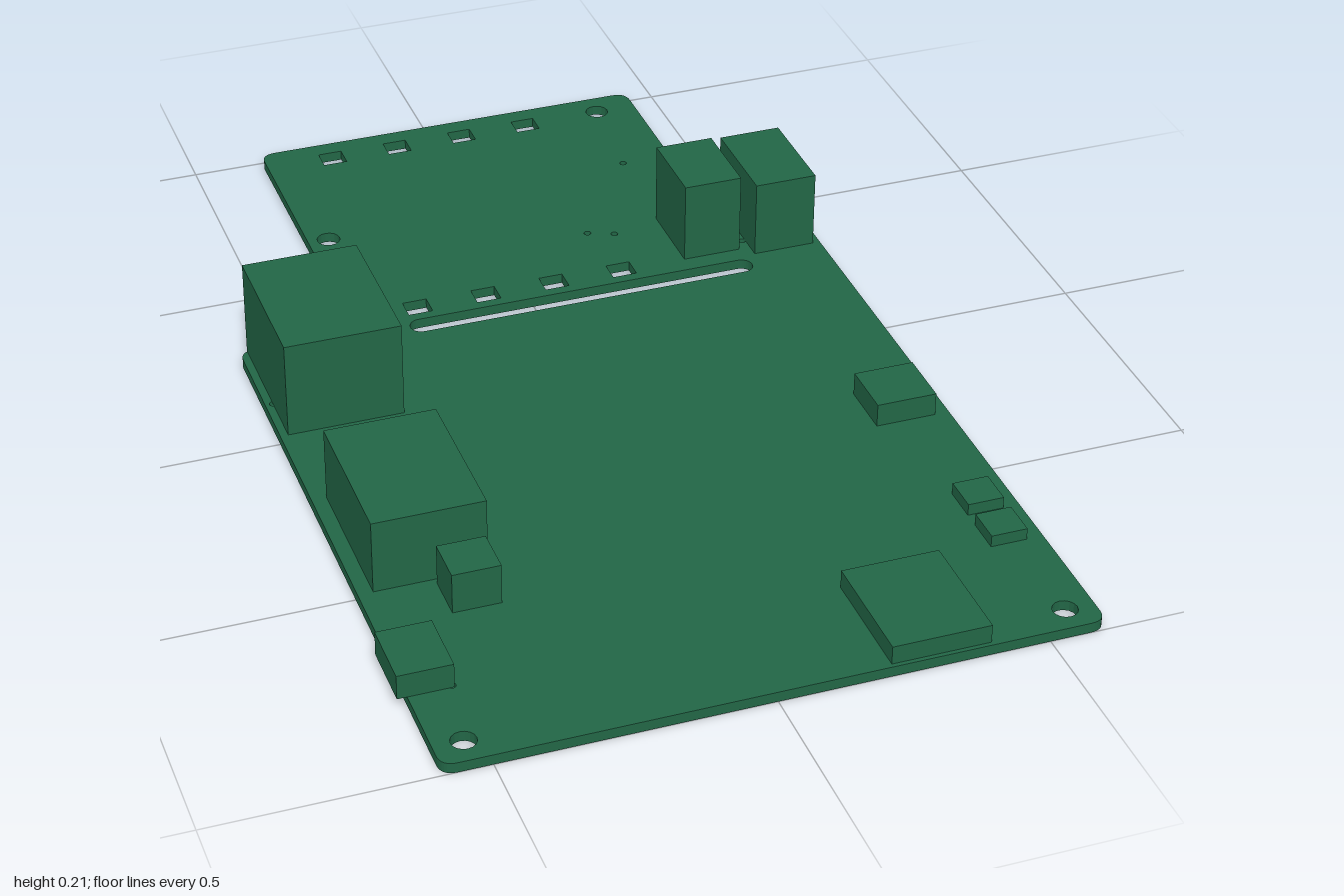
import * as THREE from 'three';

const T = 0.02; // board thickness

// Closed outline through [x, z, radius] corners, each rounded by its radius
function trace(path, pts) {
  const n = pts.length;
  const toward = (a, b, r) => {
    const l = Math.hypot(b[0] - a[0], b[1] - a[1]);
    return [a[0] + (b[0] - a[0]) * r / l, a[1] + (b[1] - a[1]) * r / l];
  };
  pts.forEach((p, i) => {
    const a = toward(p, pts[(i + n - 1) % n], p[2]);
    const b = toward(p, pts[(i + 1) % n], p[2]);
    if (i === 0) path.moveTo(a[0], -a[1]);
    else path.lineTo(a[0], -a[1]);
    if (p[2] > 0) path.quadraticCurveTo(p[0], -p[1], b[0], -b[1]);
  });
  path.closePath();
  return path;
}

function rectHole(x0, x1, z0, z1, r = 0) {
  return trace(new THREE.Path(), [[x0, z0, r], [x1, z0, r], [x1, z1, r], [x0, z1, r]]);
}

function roundHole(x, z, r) {
  const p = new THREE.Path();
  p.absarc(x, -z, r, 0, Math.PI * 2, true);
  return p;
}

export function createModel() {
  const group = new THREE.Group();
  const green = new THREE.MeshStandardMaterial({ color: 0x226646 });
  green.name = 'board green';

  // Stepped board with rounded corners
  const outline = trace(new THREE.Shape(), [
    [-0.59, 1, 0.03], [0.605, 1, 0.03], [0.605, -0.5, 0.03], [0.44, -0.5, 0.025],
    [0.44, -1, 0.03], [-0.36, -1, 0.03], [-0.36, -0.295, 0.02], [-0.59, -0.295, 0.03],
  ]);

  // Square wire openings in two rows
  for (const z of [-0.94, -0.337]) {
    for (const x of [-0.223, -0.084, 0.056, 0.196]) {
      outline.holes.push(rectHole(x - 0.024, x + 0.024, z - 0.022, z + 0.022));
    }
  }

  // Isolation slot
  const slot = new THREE.Path();
  slot.moveTo(-0.235, 0.25);
  slot.lineTo(0.425, 0.25);
  slot.absarc(0.425, 0.272, 0.022, -Math.PI / 2, Math.PI / 2, false);
  slot.lineTo(-0.235, 0.294);
  slot.absarc(-0.235, 0.272, 0.022, Math.PI / 2, Math.PI * 1.5, false);
  outline.holes.push(slot);

  // Mounting holes, then small pin holes
  for (const [x, z] of [[0.357, -0.945], [-0.318, -0.635], [-0.535, 0.948], [0.55, 0.948]]) {
    outline.holes.push(roundHole(x, z, 0.023));
  }
  const pins = [
    [0.338, -0.725], [0.178, -0.488], [0.228, -0.468], [0.46, -0.36], [0.36, -0.37], [0.41, -0.45],
    [0.53, -0.36], [0.53, -0.45], [-0.35, -0.105], [-0.575, -0.105], [-0.4, -0.24], [-0.53, -0.24],
    [-0.51, 0.69], [-0.51, 0.805],
  ];
  for (const [x, z] of pins) outline.holes.push(roundHole(x, z, 0.007));

  const boardGeo = new THREE.ExtrudeGeometry(outline, { depth: T, bevelEnabled: false, curveSegments: 8 });
  boardGeo.rotateX(-Math.PI / 2);
  const board = new THREE.Mesh(boardGeo, green);
  board.name = 'circuitBoard';
  group.add(board);

  // Block components: name, x range, z range, top height
  const parts = [
    ['relay', -0.575, -0.352, -0.295, 0.003, 0.212],
    ['terminalBlock', -0.562, -0.353, 0.215, 0.513, 0.165],
    ['capacitor', -0.45, -0.36, 0.525, 0.615, 0.1],
    ['sideConnector', -0.608, -0.507, 0.683, 0.81, 0.068],
    ['frontConnector', 0.208, 0.392, 0.765, 0.992, 0.056],
    ['pushButton', 0.46, 0.577, 0.218, 0.33, 0.066],
    ['rearLed', 0.504, 0.573, 0.572, 0.642, 0.043],
    ['frontLed', 0.504, 0.573, 0.672, 0.742, 0.043],
    ['innerPowerBlock', 0.327, 0.443, -0.498, -0.332, 0.184],
    ['outerPowerBlock', 0.466, 0.59, -0.506, -0.306, 0.176],
  ];
  for (const [name, x0, x1, z0, z1, top] of parts) {
    const mesh = new THREE.Mesh(new THREE.BoxGeometry(x1 - x0, top - T, z1 - z0), green);
    mesh.position.set((x0 + x1) / 2, (top + T) / 2, (z0 + z1) / 2);
    mesh.name = name;
    group.add(mesh);
  }
  return group;
}
